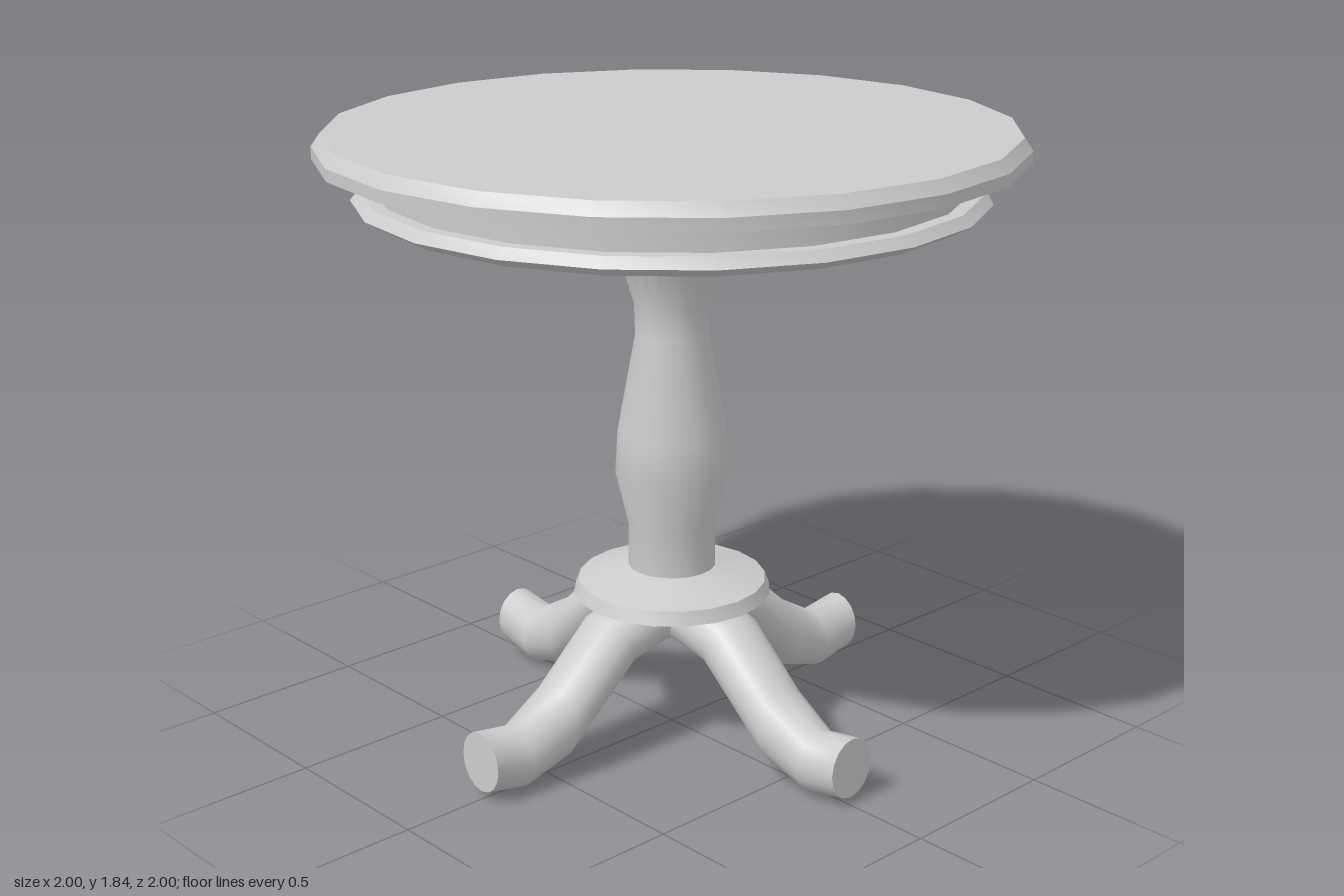
import * as THREE from 'three';
import { toCreasedNormals } from 'three/addons/utils/BufferGeometryUtils.js';

const material = new THREE.MeshStandardMaterial({ color: 0xcccccc });

function addMesh(group, name, geometry, crease = 0.6) {
  const mesh = new THREE.Mesh(toCreasedNormals(geometry, crease), material);
  mesh.name = name;
  group.add(mesh);
  return mesh;
}

// Turned part from [radius, height] pairs, listed bottom to top
function turned(profile, sides = 20) {
  return new THREE.LatheGeometry(profile.map(([r, y]) => new THREE.Vector2(r, y)), sides);
}

// Leg running outwards along +z, lofted through oval sections:
// [top z, top y, bottom z, bottom y, half width]
function legGeometry(sections, sides = 16) {
  const positions = [];
  const index = [];
  for (const [tz, ty, bz, by, w] of sections) {
    for (let i = 0; i < sides; i++) {
      const a = (i / sides) * Math.PI * 2;
      const c = Math.cos(a) / 2;
      positions.push(w * Math.sin(a), (ty + by) / 2 + (ty - by) * c, (tz + bz) / 2 + (tz - bz) * c);
    }
  }
  for (let j = 0; j < sections.length - 1; j++) {
    for (let i = 0; i < sides; i++) {
      const n = (i + 1) % sides;
      const a = j * sides + i, b = j * sides + n;
      index.push(a, a + sides, b, b, a + sides, b + sides);
    }
  }
  // Flat foot end
  const last = (sections.length - 1) * sides;
  const [tz, ty, bz, by] = sections[sections.length - 1];
  const centre = positions.length / 3;
  positions.push(0, (ty + by) / 2, (tz + bz) / 2);
  for (let i = 0; i < sides; i++) index.push(centre, last + ((i + 1) % sides), last + i);

  const geometry = new THREE.BufferGeometry();
  geometry.setAttribute('position', new THREE.Float32BufferAttribute(positions, 3));
  geometry.setIndex(index);
  return geometry;
}

export function createModel() {
  const table = new THREE.Group();
  table.name = 'pedestalTable';

  // Round top with bevelled rim
  addMesh(table, 'tableTop', turned([
    [0, 1.77], [1, 1.77], [1, 1.805], [0.975, 1.84], [0, 1.84],
  ]));

  // Recessed apron and the moulding beneath it
  addMesh(table, 'apron', turned([[0.835, 1.67], [0.835, 1.77]]));
  addMesh(table, 'moulding', turned([
    [0, 1.625], [0.855, 1.625], [0.9, 1.652], [0.875, 1.68], [0.83, 1.68],
  ]));

  // Turned column with a flared head and base collar
  addMesh(table, 'column', turned([
    [0.13, 0.5], [0.13, 0.66], [0.168, 0.82], [0.16, 0.95], [0.107, 1.24],
    [0.11, 1.33], [0.163, 1.505], [0.245, 1.555], [0.245, 1.63],
  ]), 0.75);
  addMesh(table, 'collar', turned([
    [0, 0.445], [0.295, 0.445], [0.28, 0.485], [0.13, 0.527],
  ]));

  // Four splayed legs
  const leg = legGeometry([
    [0, 0.47, 0, 0.31, 0.105],
    [0.14, 0.475, 0.1, 0.3, 0.105],
    [0.29, 0.43, 0.205, 0.28, 0.105],
    [0.465, 0.275, 0.465, 0.05, 0.1],
    [0.61, 0.19, 0.61, 0.005, 0.085],
    [0.74, 0.212, 0.74, 0.03, 0.08],
  ]);
  ['frontLeg', 'leftLeg', 'backLeg', 'rightLeg'].forEach((name, i) => {
    addMesh(table, name, leg, 0.8).rotation.y = (i * Math.PI) / 2;
  });

  return table;
}
